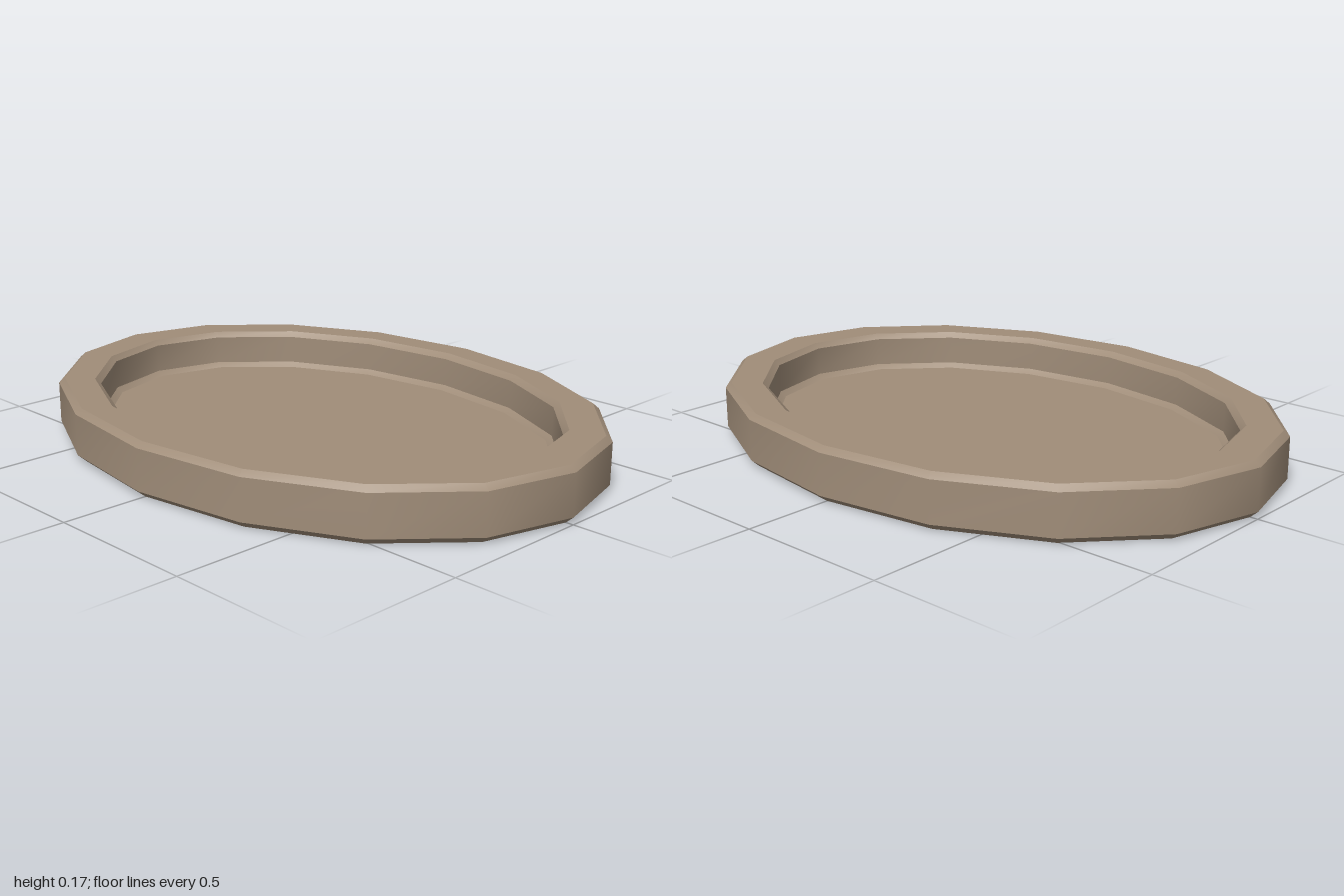
import * as THREE from 'three';
import { toCreasedNormals } from 'three/addons/utils/BufferGeometryUtils.js';

const SIDES = 16;

// Cross-section from the underside centre, around the rim, to the floor centre:
// [half width in x, half length in z, height]
const PROFILE = [
  [0, 0, 0],
  [0.715, 0.975, 0],       // underside edge
  [0.74, 1, 0.022],        // lower bevel
  [0.74, 1, 0.155],        // outer wall
  [0.72, 0.98, 0.172],     // upper bevel
  [0.63, 0.865, 0.172],    // flat rim
  [0.61, 0.848, 0.155],    // inner bevel
  [0.61, 0.848, 0.06],     // inner wall
  [0.592, 0.828, 0.045],   // floor bevel
  [0, 0, 0.045],           // floor
];

// Joins elliptical rings of the profile into one closed surface
function ellipticalLathe(profile, sides) {
  const positions = [];
  const point = ([rx, rz, y], j) => {
    const a = ((j % sides) / sides) * Math.PI * 2;
    return [rx * Math.sin(a), y, rz * Math.cos(a)];
  };
  for (let i = 0; i < profile.length - 1; i++) {
    const low = profile[i], high = profile[i + 1];
    for (let j = 0; j < sides; j++) {
      const a = point(low, j), b = point(low, j + 1);
      const c = point(high, j + 1), d = point(high, j);
      if (low[0] > 0) positions.push(...a, ...b, ...c);
      if (high[0] > 0) positions.push(...a, ...c, ...d);
      else continue;
    }
  }
  const geometry = new THREE.BufferGeometry();
  geometry.setAttribute('position', new THREE.Float32BufferAttribute(positions, 3));
  return toCreasedNormals(geometry, 0.6);
}

export function createModel() {
  const group = new THREE.Group();
  group.name = 'ovalTray';
  const material = new THREE.MeshStandardMaterial({ color: 0xa08d79 });
  const tray = new THREE.Mesh(ellipticalLathe(PROFILE, SIDES), material);
  tray.name = 'trayBody';
  group.add(tray);
  return group;
}
